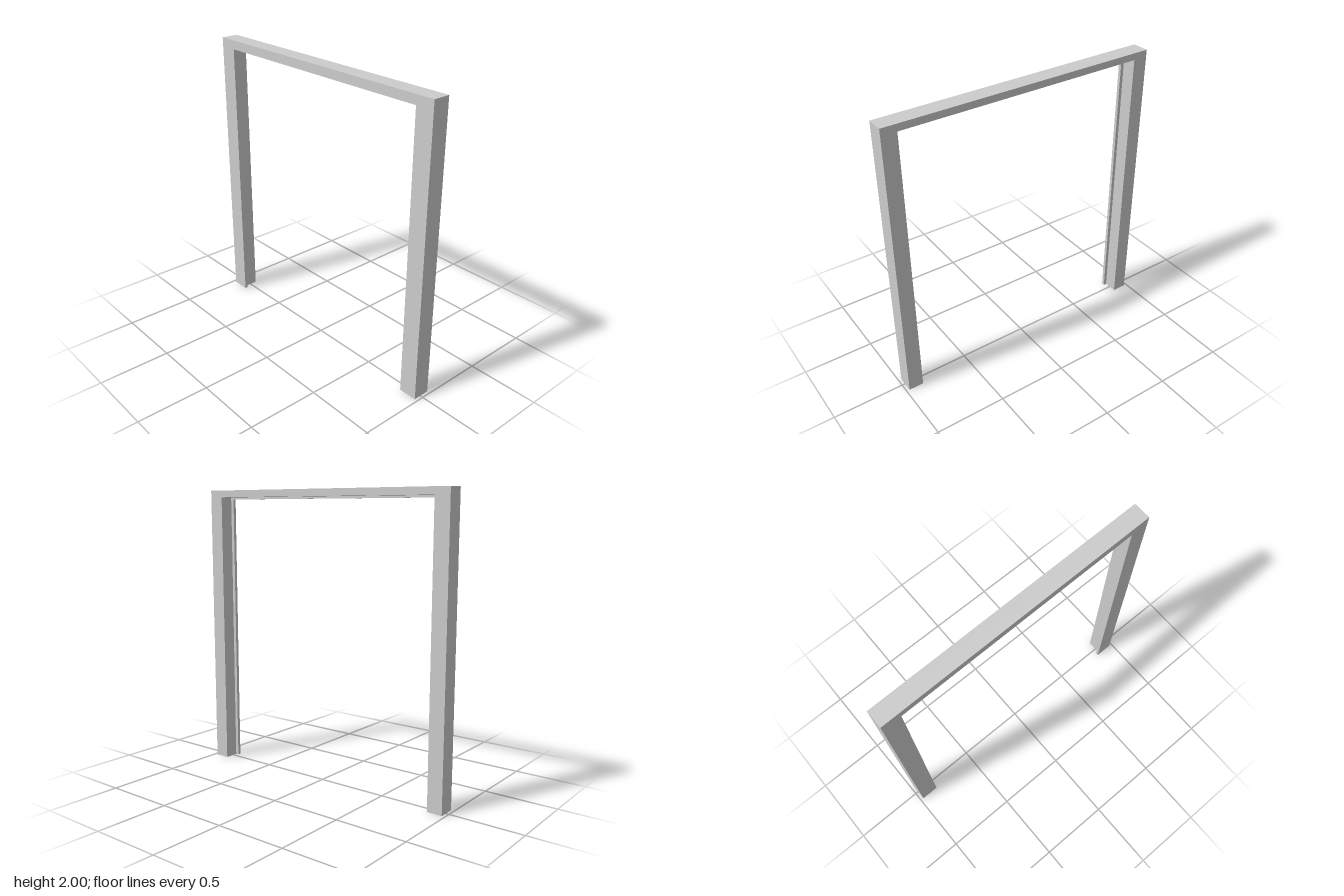
import * as THREE from 'three';

const HALF_WIDTH = 0.978, HEIGHT = 2, HALF_DEPTH = 0.06, STOP_Z = 0.038;

// Hollow frame section, as [inset on the jambs, inset on the header, z]
const PROFILE = [
  [0, 0, HALF_DEPTH],
  [0.128, 0.063, HALF_DEPTH],   // front face
  [0.128, 0.063, STOP_Z],       // door stop
  [0.105, 0.048, STOP_Z],       // step into the rebate
  [0.105, 0.048, -HALF_DEPTH],  // rebate
  [0, 0, -HALF_DEPTH],          // back face
];

// Path of one profile point: up one jamb, across the header, down the other
function railPoints([w, h, z]) {
  const x = HALF_WIDTH - w, y = HEIGHT - h;
  return [[-x, 0, z], [-x, y, z], [x, y, z], [x, 0, z]];
}

// Skin of one stretch of the path, mitred at the corners and open at the ends
function stretch(name, k, material) {
  const rails = PROFILE.map(railPoints);
  const positions = [];
  rails.forEach((rail, i) => {
    const next = rails[(i + 1) % rails.length];
    const [a, b, c, d] = [rail[k], next[k], next[k + 1], rail[k + 1]];
    positions.push(...a, ...b, ...c, ...a, ...c, ...d);
  });
  const geometry = new THREE.BufferGeometry();
  geometry.setAttribute('position', new THREE.Float32BufferAttribute(positions, 3));
  geometry.computeVertexNormals();
  const mesh = new THREE.Mesh(geometry, material);
  mesh.name = name;
  return mesh;
}

export function createModel() {
  const metal = new THREE.MeshStandardMaterial({ color: 0xcccccc, side: THREE.DoubleSide });
  metal.name = 'light grey metal';

  const frame = new THREE.Group();
  frame.name = 'doorFrame';
  ['rightJamb', 'header', 'leftJamb'].forEach((name, k) => frame.add(stretch(name, k, metal)));
  frame.rotation.y = 0.0077; // the frame stands very slightly turned

  const model = new THREE.Group();
  model.name = 'model';
  model.add(frame);
  return model;
}
